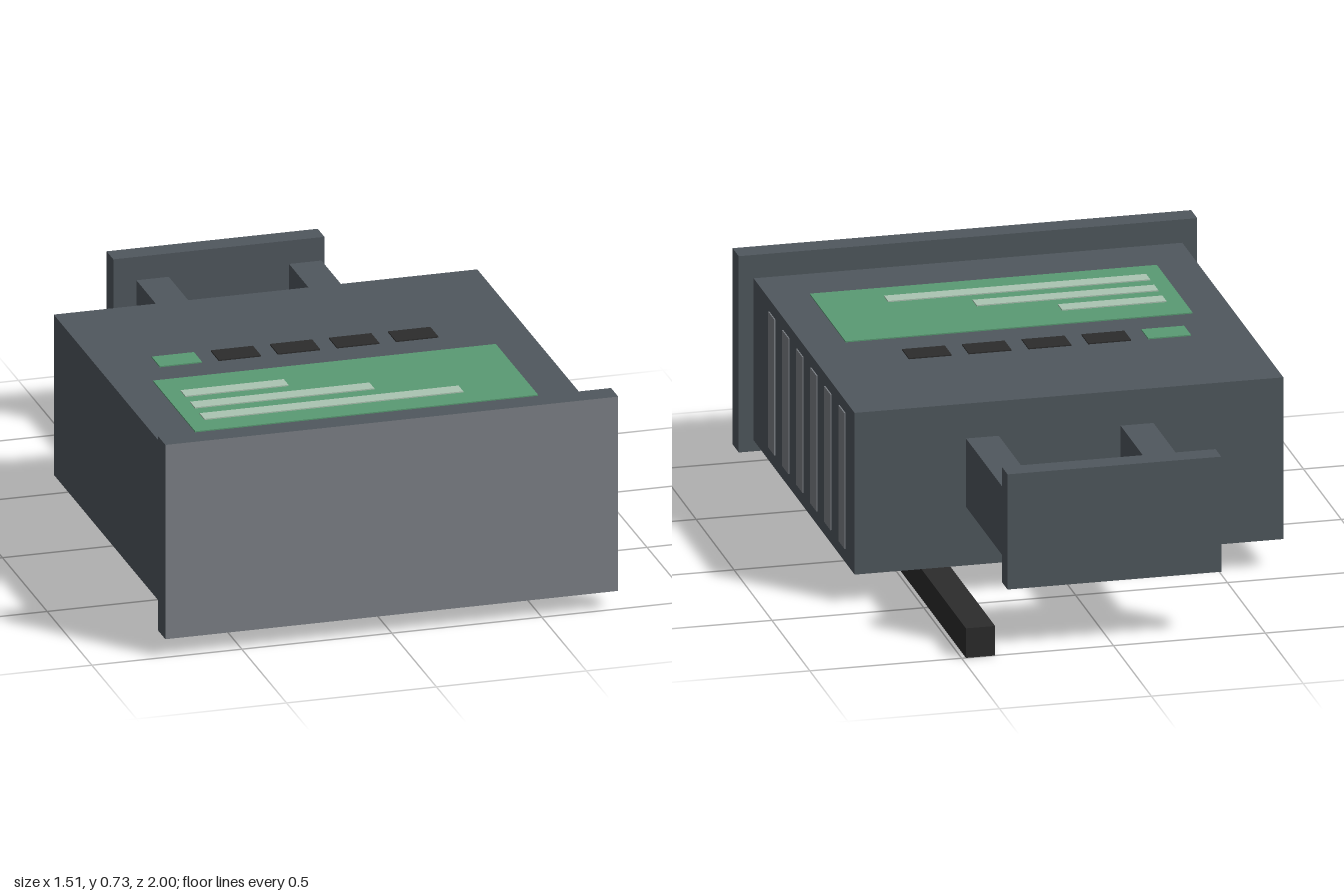
import * as THREE from 'three';

const mat = (name, color) => {
  const m = new THREE.MeshStandardMaterial({ color });
  m.name = name;
  return m;
};

export function createModel() {
  const model = new THREE.Group();
  model.name = 'instrumentModule';
  const casing = mat('slate casing', 0x50585e);
  const pale = mat('pale grey', 0x7c8086);
  const black = mat('black', 0x2c2c2c);
  const green = mat('screen green', 0x5a9b74);
  const mint = mat('pale mint', 0xabc5b2);

  // Box given by its lower and upper limits on each axis
  const box = (name, material, [x0, x1], [y0, y1], [z0, z1]) => {
    const mesh = new THREE.Mesh(new THREE.BoxGeometry(x1 - x0, y1 - y0, z1 - z0), material);
    mesh.position.set((x0 + x1) / 2, (y0 + y1) / 2, (z0 + z1) / 2);
    mesh.name = name;
    model.add(mesh);
    return mesh;
  };

  // Main housing and front flange, whose front face is pale
  const top = 0.648, side = 0.706;
  box('housing', casing, [-side, side], [0.1, top], [-0.413, 0.92]);
  const flange = box('frontFlange', casing, [-0.755, 0.755], [0.062, 0.727], [0.92, 1]);
  flange.material = [casing, casing, casing, casing, pale, casing];

  // Rear handle: two arms and a grip plate
  for (const x of [-0.224, 0.285]) {
    box('handleArm', casing, [x - 0.054, x + 0.054], [0.298, 0.53], [-0.925, -0.413]);
  }
  box('handleGrip', casing, [-0.355, 0.349], [0.22, 0.61], [-1, -0.925]);

  // Rail under the housing
  box('lowerRail', black, [0.39, 0.486], [0, 0.1], [-1, 0.178]);

  // Screen with three lines on top
  box('screen', green, [-0.573, 0.57], [top, top + 0.004], [0.251, 0.723]);
  [-0.172, 0.082, 0.347].forEach((end, i) => {
    const z = 0.395 + i * 0.107;
    box('screenLine', mint, [-0.516, end], [top + 0.004, top + 0.008], [z - 0.027, z + 0.027]);
  });

  // Row of buttons, the first one lit
  for (let i = 0; i < 5; i++) {
    const x = -0.516 + i * 0.197;
    box('button', i ? black : green, [x, x + 0.141], [top, top + 0.004], [0.045, 0.135]);
  }

  // Vent slots on the model's left side
  for (let i = 0; i < 6; i++) {
    const z = 0.673 - i * 0.1855;
    box('ventSlot', pale, [side, side + 0.004], [0.147, 0.607], [z - 0.041, z + 0.041]);
  }
  return model;
}
